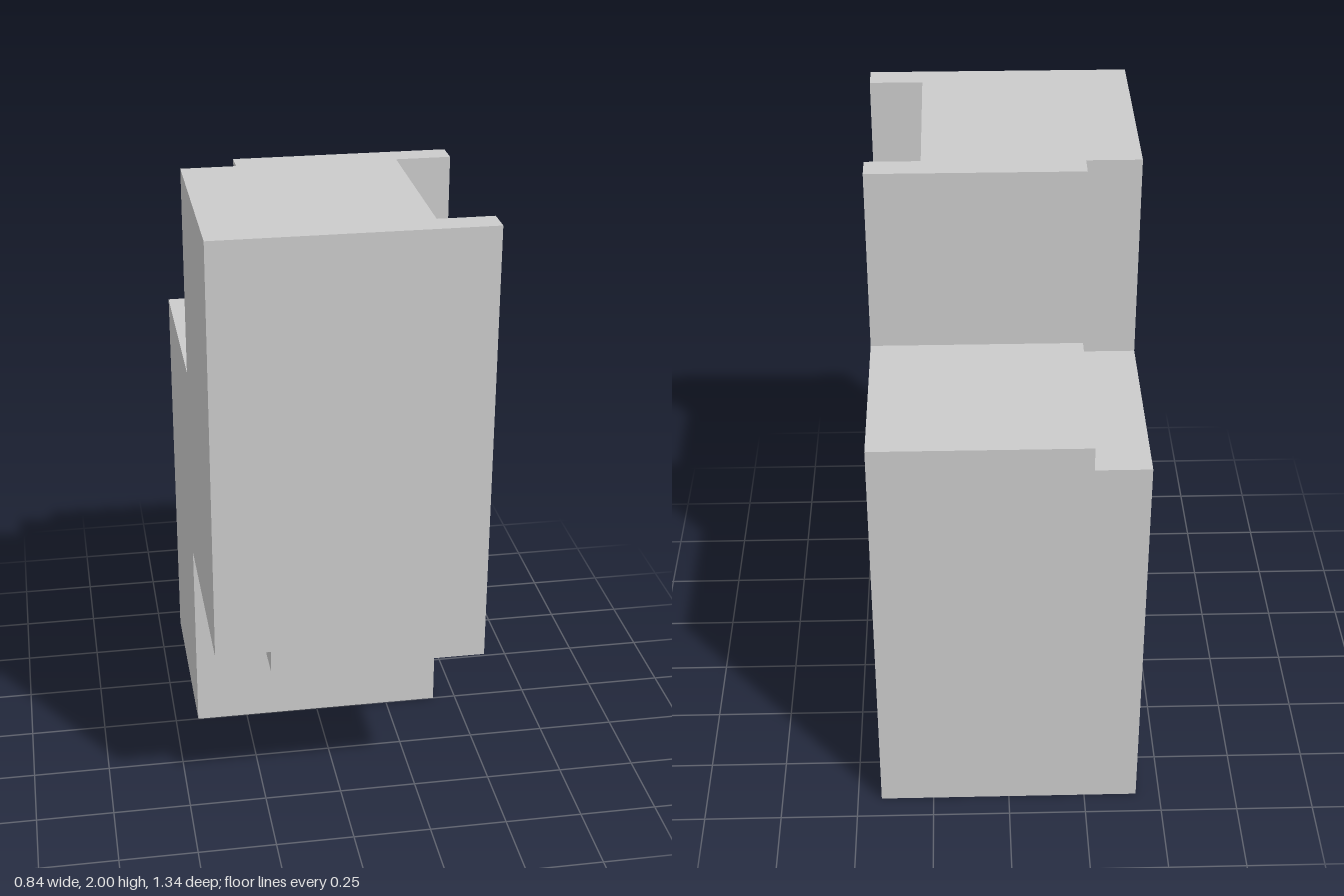
import * as THREE from 'three';

const material = new THREE.MeshStandardMaterial({ color: 0xcccccc, flatShading: true });

// Extrudes a side profile of [z, y] points along x, from x0 to x1.
function slab(name, profile, x0, x1) {
  const shape = new THREE.Shape(profile.map(([z, y]) => new THREE.Vector2(-z, y)));
  const geometry = new THREE.ExtrudeGeometry(shape, { depth: x1 - x0, bevelEnabled: false });
  geometry.rotateY(Math.PI / 2).translate(x0, 0, 0);
  const mesh = new THREE.Mesh(geometry, material);
  mesh.name = name;
  return mesh;
}

export function createModel() {
  const group = new THREE.Group();
  group.name = 'interlockingBlock';

  // Half width, socket floor, half depth and inner wall faces
  const W = 0.422, S = 0.25, D = 0.672, I = 0.585, T = 0.083;

  // Solid stepped middle
  const body = [
    [D, 2], [-T, 2], [-T, 1.4], [-D, 1.4],
    [-D, 0], [0, 0], [0, 0.595], [D, 0.595],
  ];
  group.add(slab('body', body, -S, S));

  // Slimmer tongue on the right end
  const tongue = [
    [D, 2], [-0.008, 2], [-0.008, 1.322], [-D, 1.322],
    [-D, 0], [0, 0], [0, 0.668], [D, 0.668],
  ];
  group.add(slab('tongue', tongue, -W, -S));

  // Stepped rim along the front of the socket; the back rim is its half-turn
  const frontRim = [
    [D, 2], [I, 2], [I, 0.68], [-T, 0.68],
    [-T, 0], [0, 0], [0, 0.595], [D, 0.595],
  ];
  const backRim = [
    [-D, 0], [-I, 0], [-I, 1.315], [0, 1.315],
    [0, 2], [-T, 2], [-T, 1.4], [-D, 1.4],
  ];
  group.add(slab('frontSocketRim', frontRim, S, W));
  group.add(slab('backSocketRim', backRim, S, W));

  return group;
}
